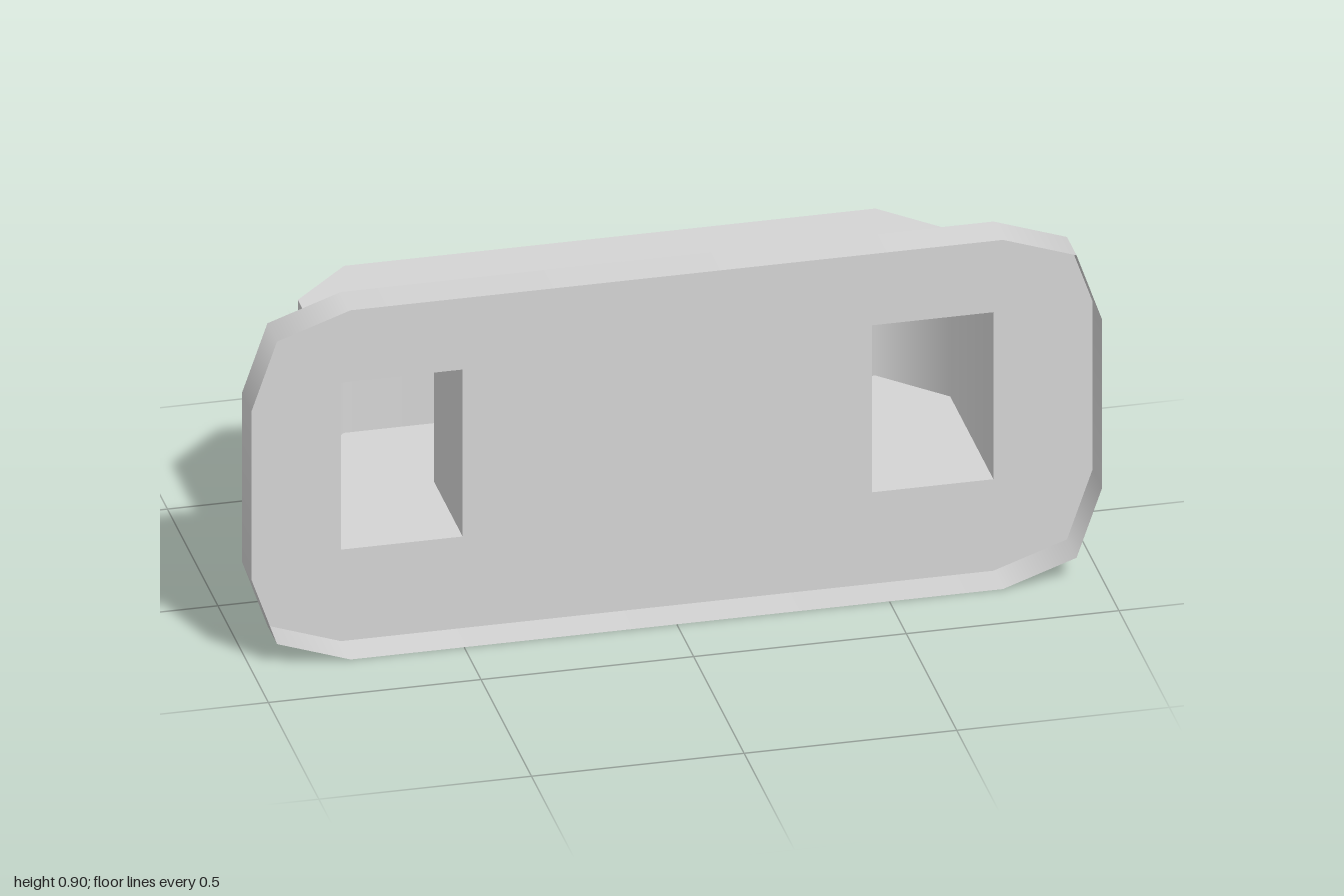
import * as THREE from 'three';
import { mergeGeometries } from 'three/addons/utils/BufferGeometryUtils.js';

const FRONT = 0.333, PLATE = 0.238, BACK = -0.332;
const HEIGHT = 0.897, BOTTOM = 0.235, TOP = 0.664;
const INNER = 0.481, OUTER = 0.767;

const points = (list) => list.map(([x, y]) => new THREE.Vector2(x, y));

// Appends the mirror image of a half outline (x > 0)
const mirrored = (half) => points([...half, ...half.map(([x, y]) => [-x, y]).reverse()]);

// Wall of no thickness standing along z over a path; smooth walls share normals at their corners
function wall(path, depth, { closed = false, smooth = false } = {}) {
  const count = closed ? path.length : path.length - 1;
  const normals = [];
  for (let i = 0; i < count; i++) {
    const d = path[(i + 1) % path.length].clone().sub(path[i]).normalize();
    normals.push(new THREE.Vector2(d.y, -d.x));
  }
  const blend = (i, j) => {
    const k = closed ? (j + count) % count : THREE.MathUtils.clamp(j, 0, count - 1);
    return smooth ? normals[i].clone().add(normals[k]).normalize() : normals[i];
  };
  const position = [], normal = [], uv = [], index = [];
  for (let i = 0; i < count; i++) {
    const a = path[i], b = path[(i + 1) % path.length];
    const na = blend(i, i - 1), nb = blend(i, i + 1);
    position.push(a.x, a.y, 0, b.x, b.y, 0, b.x, b.y, depth, a.x, a.y, depth);
    for (const n of [na, nb, nb, na]) normal.push(n.x, n.y, 0);
    uv.push(0, 0, 1, 0, 1, 1, 0, 1);
    index.push(...[0, 1, 2, 0, 2, 3].map((k) => 4 * i + k));
  }
  const geometry = new THREE.BufferGeometry();
  geometry.setAttribute('position', new THREE.Float32BufferAttribute(position, 3));
  geometry.setAttribute('normal', new THREE.Float32BufferAttribute(normal, 3));
  geometry.setAttribute('uv', new THREE.Float32BufferAttribute(uv, 2));
  geometry.setIndex(index);
  return geometry;
}

// Shallow tray open to the front: slotted panel with a bevelled rim
function trayGeometries() {
  const outline = mirrored([
    [0.767, 0], [0.94, 0.06], [1, 0.232],
    [1, HEIGHT - 0.232], [0.94, HEIGHT - 0.06], [0.767, HEIGHT],
  ]);
  const shape = new THREE.Shape(outline);
  for (const side of [-1, 1]) {
    shape.holes.push(new THREE.Path(points([
      [side * INNER, BOTTOM], [side * INNER, TOP], [side * OUTER, TOP], [side * OUTER, BOTTOM],
    ])));
  }
  const panel = new THREE.ShapeGeometry(shape).rotateY(Math.PI);
  const rim = wall(outline, FRONT - PLATE, { closed: true, smooth: true });
  return [panel.translate(0, 0, PLATE), rim.translate(0, 0, PLATE)];
}

// Hollow U-shaped loop in plan, its open mouths meeting the slots
function loopGeometry() {
  const outer = mirrored([[OUTER, -PLATE], [OUTER, 0.19], [0.625, -BACK]]);
  const inner = points([[-INNER, -PLATE], [-INNER, 0.048], [INNER, 0.048], [INNER, -PLATE]]);
  const depth = TOP - BOTTOM;
  const section = new THREE.Shape([...outer, ...inner]);
  const top = new THREE.ShapeGeometry(section).translate(0, 0, depth);
  const bottom = new THREE.ShapeGeometry(section).rotateY(Math.PI);
  const geometry = mergeGeometries([wall(outer, depth, { smooth: true }), wall(inner, depth), top, bottom]);
  return geometry.rotateX(-Math.PI / 2).translate(0, BOTTOM, 0);
}

export function createModel() {
  const grey = new THREE.MeshStandardMaterial({ color: 0xd4d4d4, side: THREE.DoubleSide });
  grey.name = 'grey';
  const model = new THREE.Group();
  model.name = 'slottedBracket';

  const [panel, rim] = trayGeometries();
  for (const [name, geometry] of Object.entries({ panel, rim, hollowLoop: loopGeometry() })) {
    const mesh = new THREE.Mesh(geometry, grey);
    mesh.name = name;
    model.add(mesh);
  }
  return model;
}
